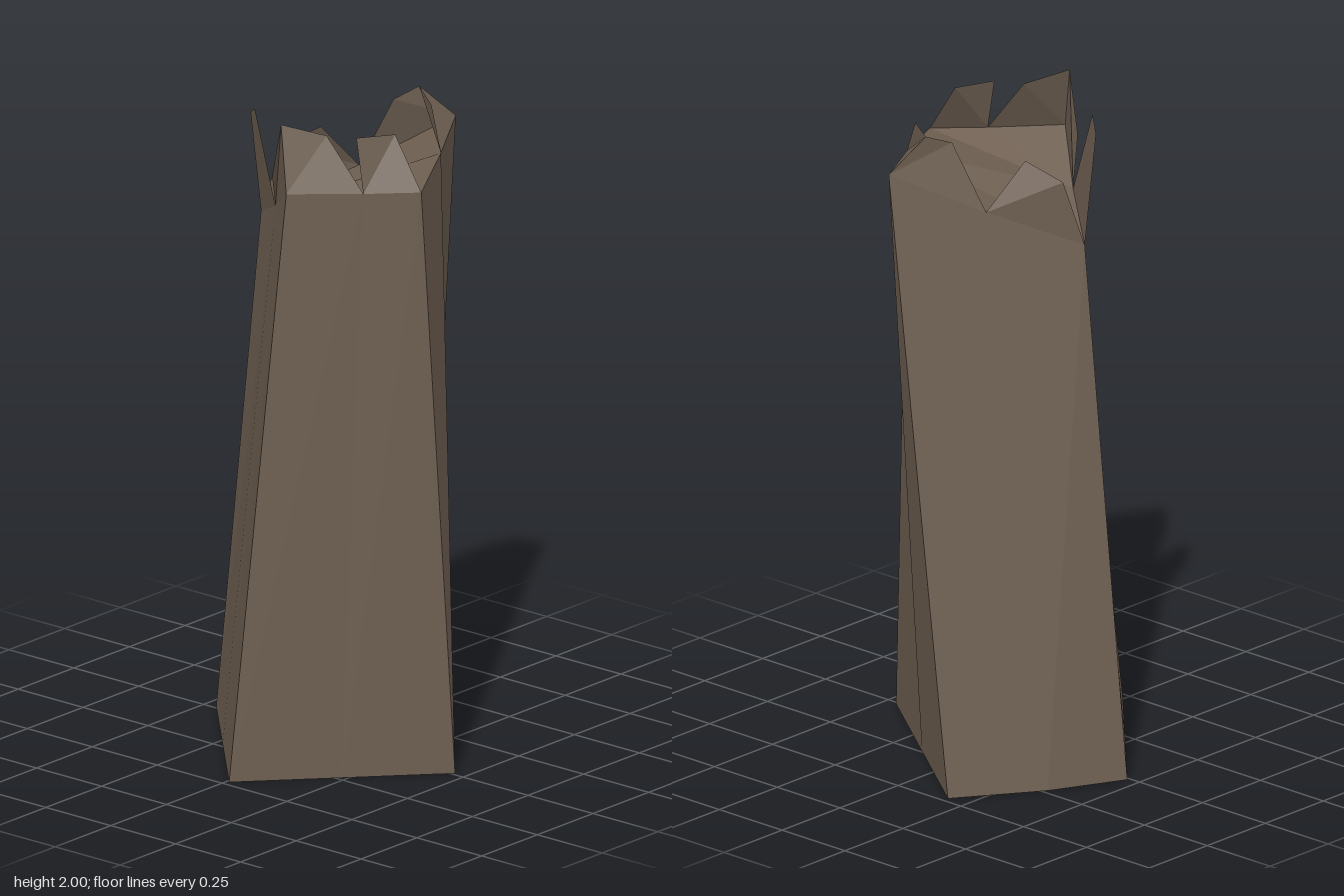
import * as THREE from 'three';

// Rings run counterclockwise seen from above, starting at the front corner.
const BASE = [
  [0.01, 0, 0.46], [0.245, 0, 0.14], [0.48, 0, -0.18], [0.235, 0, -0.35],
  [0.01, 0, -0.46], [-0.235, 0, -0.225], [-0.48, 0, 0.01], [-0.235, 0, 0.235],
];
const RIM = [
  [-0.06, 1.8, 0.39], [0.18, 1.83, 0.26], [0.41, 1.855, 0.12], [0.185, 1.72, -0.06],
  [-0.045, 1.6, -0.24], [-0.19, 1.69, -0.06], [-0.34, 1.805, 0.11], [-0.18, 1.8, 0.27],
];
// Two tips for the splinter on each rim segment; the first segment is bare.
const TIPS = [
  null,
  [[0.225, 1.95, 0.185], [0.31, 1.96, 0.065]],
  [[0.31, 1.96, 0.065], [0.235, 1.93, 0.03]],
  [[0.065, 1.86, -0.105], [0.005, 1.8, -0.2]],
  [[-0.11, 1.925, -0.225], [-0.16, 1.96, -0.165]],
  [[-0.275, 1.82, 0], [-0.305, 2, 0.06]],
  [[-0.305, 2, 0.06], [-0.205, 1.96, 0.15]],
  [[-0.165, 1.96, 0.23], [-0.055, 1.955, 0.285]],
];

// Flat-faced geometry from polygons, each fanned from its first corner.
function facets(polygons) {
  const positions = [];
  for (const p of polygons) {
    for (let i = 1; i < p.length - 1; i++) positions.push(...p[0], ...p[i], ...p[i + 1]);
  }
  const geometry = new THREE.BufferGeometry();
  geometry.setAttribute('position', new THREE.Float32BufferAttribute(positions, 3));
  geometry.computeVertexNormals();
  return geometry;
}

export function createModel() {
  const group = new THREE.Group();
  group.name = 'brokenStump';
  const wood = new THREE.MeshStandardMaterial({ color: 0x6e5f51, flatShading: true, side: THREE.DoubleSide });
  wood.name = 'weathered brown';

  const add = (name, polygons) => {
    const mesh = new THREE.Mesh(facets(polygons), wood);
    mesh.name = name;
    group.add(mesh);
  };

  // Tapered, leaning trunk walls
  add('trunkWalls', BASE.map((b, i) => {
    const j = (i + 1) % 8;
    return [b, BASE[j], RIM[j], RIM[i]];
  }));
  add('trunkBottom', [[...BASE].reverse()]);

  // Sloping broken surface, creased from the back left to the front right
  add('brokenTop', [
    [RIM[1], RIM[2], RIM[3], RIM[4], RIM[5]],
    [RIM[5], RIM[6], RIM[7], RIM[0], RIM[1]],
  ]);

  // Thin splinters leaning inward around the rim
  TIPS.forEach((tips, i) => {
    if (tips) add('splinter' + i, [[RIM[i], RIM[(i + 1) % 8], tips[1], tips[0]]]);
  });
  return group;
}
